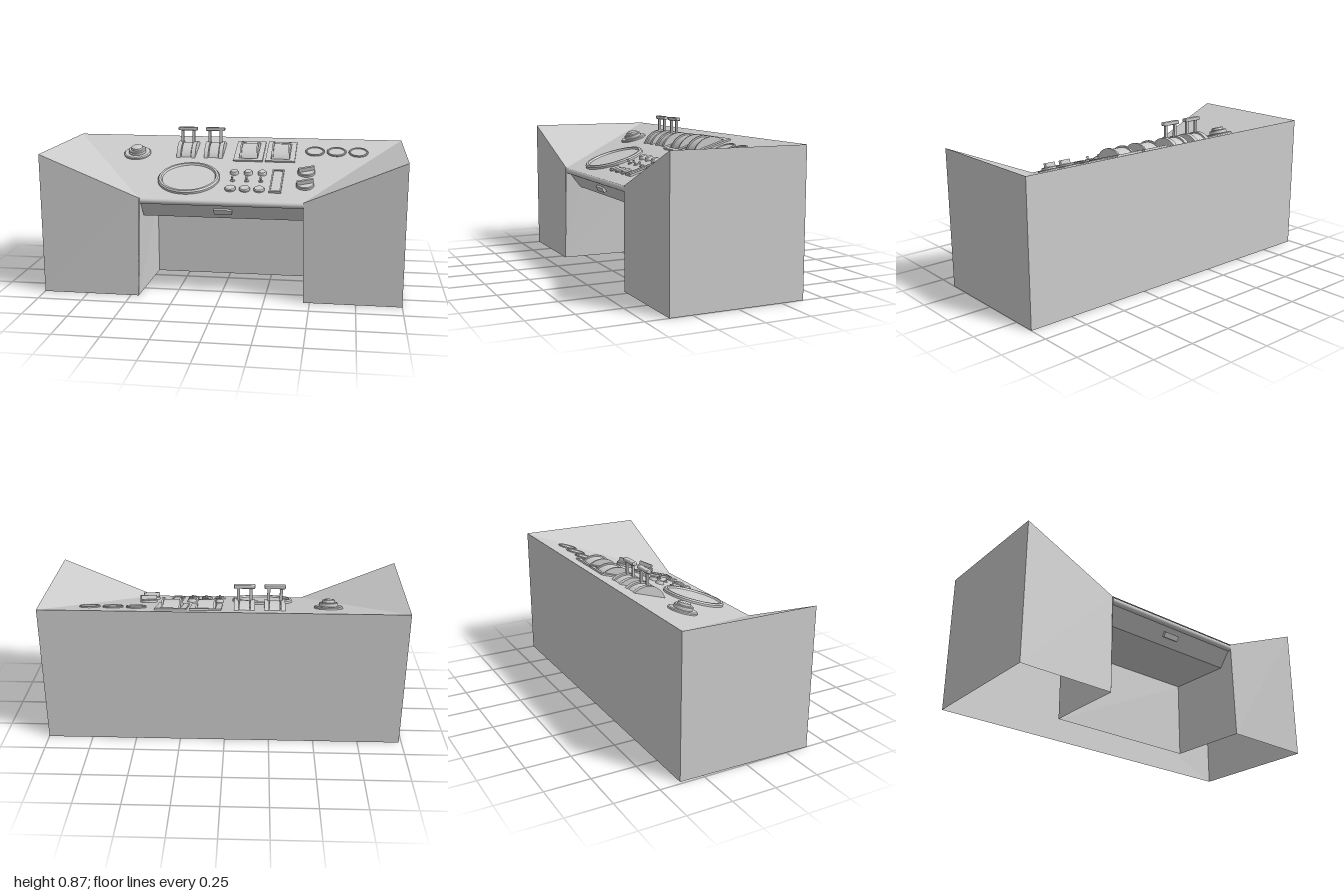
import * as THREE from 'three';
import { toCreasedNormals } from 'three/addons/utils/BufferGeometryUtils.js';
import { RoundedBoxGeometry } from 'three/addons/geometries/RoundedBoxGeometry.js';

const TILT = Math.atan(0.23 / 0.75); // slope of the control panel
const material = new THREE.MeshStandardMaterial({ color: 0xcccccc, side: THREE.DoubleSide });

function part(name, geometry, parent, x = 0, y = 0, z = 0) {
  const m = new THREE.Mesh(geometry, material);
  m.name = name;
  m.position.set(x, y, z);
  parent.add(m);
  return m;
}

function group(name, parent, x = 0, y = 0, z = 0) {
  const g = new THREE.Group();
  g.name = name;
  g.position.set(x, y, z);
  parent.add(g);
  return g;
}

// flat convex sheet from its corners, counter-clockwise from outside
function sheet(name, parent, ...corners) {
  const pos = [];
  for (let i = 1; i < corners.length - 1; i++) pos.push(...corners[0], ...corners[i], ...corners[i + 1]);
  const g = new THREE.BufferGeometry();
  g.setAttribute('position', new THREE.Float32BufferAttribute(pos, 3));
  g.computeVertexNormals();
  return part(name, g, parent);
}

const box = (w, h, d) => new THREE.BoxGeometry(w, h, d);

// lathe-turned control from [radius, height] pairs
function turned(points, sides = 32) {
  const g = new THREE.LatheGeometry(points.map(p => new THREE.Vector2(...p)), sides);
  return toCreasedNormals(g, 0.6);
}

// arched housing: a circle segment of given length and height, swept along x
function hump(width, length, height) {
  const r = (length * length / 4 + height * height) / (2 * height);
  const a = Math.asin(length / 2 / r);
  const s = new THREE.Shape();
  s.absarc(0, height - r, r, Math.PI / 2 - a, Math.PI / 2 + a, false);
  s.closePath();
  const g = new THREE.ExtrudeGeometry(s, { depth: width, bevelEnabled: false, curveSegments: 18 });
  g.translate(0, 0, -width / 2);
  g.rotateY(Math.PI / 2);
  return toCreasedNormals(g, 0.5);
}

// rectangular frame lying flat, with a rectangular opening
function frame(w, d, iw, id, h) {
  const rect = (C, a, b) => new C([[-a, -b], [a, -b], [a, b], [-a, b]].map(p => new THREE.Vector2(p[0] / 2, p[1] / 2)));
  const s = rect(THREE.Shape, w, d);
  s.holes.push(rect(THREE.Path, iw, id));
  const g = new THREE.ExtrudeGeometry(s, { depth: h, bevelEnabled: false });
  g.rotateX(-Math.PI / 2);
  return g;
}

function buildBody(root) {
  const body = group('body', root);
  const H = 0.79, B = -0.38, bl = -0.985, K = -0.09;
  const backL = [1, H, B], backR = [bl, H, B];
  const outL = [1, H, 0.373], outR = [-1, H, 0.38];
  const inL = [0.455, 0.56, 0.37], inR = [-0.445, 0.56, 0.37];

  sheet('controlPanelTop', body, inR, inL, backL, backR);
  sheet('leftWingTop', body, inL, outL, backL);
  sheet('rightWingTop', body, outR, inR, backR);
  sheet('backPanel', body, [1, 0, B], [bl, 0, B], backR, backL);
  sheet('leftSide', body, [1, 0, 0.373], [1, 0, B], backL, outL);
  sheet('rightSide', body, [bl, 0, B], [-1, 0, 0.38], outR, backR);
  sheet('leftPedestalFront', body, [0.465, 0, 0.373], [1, 0, 0.373], outL, inL);
  sheet('rightPedestalFront', body, [-1, 0, 0.38], [-0.455, 0, 0.38], inR, outR);

  // knee space: inner walls, back, ceiling and sloping drawer front
  const xl = 0.46, xr = -0.44;
  const wall = (x, xf, zf) => [[xf, 0, zf], [x, 0, K], [x, 0.44, K], [x, 0.44, 0.28], [x, 0.525, 0.345], [x, 0.56, 0.37]];
  sheet('leftKneeWall', body, ...wall(xl, 0.465, 0.373).reverse());
  sheet('rightKneeWall', body, ...wall(xr, -0.455, 0.38));
  sheet('kneeBack', body, [xr, 0, K], [xl, 0, K], [xl, 0.44, K], [xr, 0.44, K]);
  sheet('kneeCeiling', body, [xr, 0.44, K], [xl, 0.44, K], [xl, 0.44, 0.28], [xr, 0.44, 0.28]);
  sheet('drawerFront', body, [xr, 0.44, 0.28], [xl, 0.44, 0.28], [xl, 0.53, 0.348], [xr, 0.53, 0.348]);
  const pull = part('drawerHandle', box(0.1, 0.03, 0.02), body, 0.015, 0.488, 0.322);
  pull.rotation.x = 0.5;

  // rounded front lip
  const lip = new THREE.CylinderGeometry(0.018, 0.018, xl - xr, 20);
  lip.rotateZ(Math.PI / 2);
  part('frontLip', lip, body, (xl + xr) / 2, 0.543, 0.354);
}

function buildLevers(root) {
  for (const x of [-0.27, -0.105]) {
    const lever = group('throttleLever', root, x, 0.73, -0.192);
    const housing = group('leverHousing', lever);
    housing.rotation.x = TILT;
    part('leverHump', hump(0.056, 0.18, 0.046), housing);
    for (const s of [-1, 1]) {
      part('leverSideRail', hump(0.024, 0.195, 0.054), housing, s * 0.044, 0, 0);
      part('leverStem', box(0.016, 0.12, 0.013), lever, s * 0.034, 0.07, -0.004);
    }
    part('leverGrip', new RoundedBoxGeometry(0.115, 0.02, 0.028, 2, 0.005), lever, 0, 0.134, -0.004);
  }
}

function buildControls(root) {
  const panel = group('panelControls', root, 0, 0.673, 0);
  panel.rotation.x = TILT;
  const c = Math.cos(TILT);
  const at = (name, geometry, x, z, y = 0) => part(name, geometry, panel, x, y, z / c);

  // large round display with raised rim
  at('roundDisplay', turned([[0.175, 0], [0.175, 0.012], [0.168, 0.02], [0.156, 0.02], [0.15, 0.01], [0, 0.01]], 48), -0.205, 0.15);

  // stepped push button
  at('pushButton', turned([[0.08, 0], [0.08, 0.008], [0.074, 0.013], [0.052, 0.013], [0.052, 0.03],
    [0.047, 0.034], [0.036, 0.034], [0.034, 0.046], [0.028, 0.05], [0, 0.05]]), -0.57, -0.135);

  // rocker wheels in framed plates
  for (const x of [0.105, 0.293]) {
    const rocker = group('rockerUnit', panel, x, 0, -0.19 / c);
    part('rockerPlate', frame(0.172, 0.25, 0.11, 0.205, 0.01), rocker);
    part('rockerWheel', hump(0.085, 0.185, 0.046), rocker);
    for (const s of [-1, 1]) part('rockerRail', hump(0.01, 0.2, 0.055), rocker, s * 0.048, 0, 0);
  }

  // three round gauges
  for (const x of [0.49, 0.617, 0.745]) {
    at('gauge', turned([[0.057, 0], [0.057, 0.006], [0.054, 0.009], [0.048, 0.009], [0.046, 0.004], [0, 0.004]]), x, -0.21);
  }

  // button and toggle grid
  for (const x of [0.045, 0.125, 0.205]) {
    at('domeButton', turned([[0.025, 0], [0.025, 0.01], [0.02, 0.019], [0.01, 0.022], [0, 0.022]], 20), x, 0.072);
    at('toggleBase', turned([[0.013, 0], [0.013, 0.006], [0.006, 0.008], [0, 0.008]], 12), x, 0.155);
    const stick = new THREE.CylinderGeometry(0.007, 0.004, 0.026, 10);
    at('toggleStick', stick, x, 0.16, 0.018).rotation.x = 0.2;
    at('roundButton', turned([[0.031, 0], [0.031, 0.008], [0.026, 0.014], [0, 0.014]], 20), x, 0.248);
  }

  // long slider slot
  at('sliderFrame', frame(0.066, 0.255, 0.05, 0.238, 0.012), 0.294, 0.155);
  at('sliderBed', box(0.05, 0.004, 0.238), 0.294, 0.155, 0.003);

  // rotary selectors with a finger bar
  for (const z of [0.047, 0.19]) {
    at('selectorBase', turned([[0.05, 0], [0.05, 0.012], [0.046, 0.016], [0, 0.016]]), 0.453, z);
    at('selectorBar', box(0.095, 0.026, 0.014), 0.453, z, 0.026).rotation.y = 0.4;
  }
}

export function createModel() {
  const root = new THREE.Group();
  root.name = 'controlConsole';
  buildBody(root);
  buildLevers(root);
  buildControls(root);
  return root;
}
